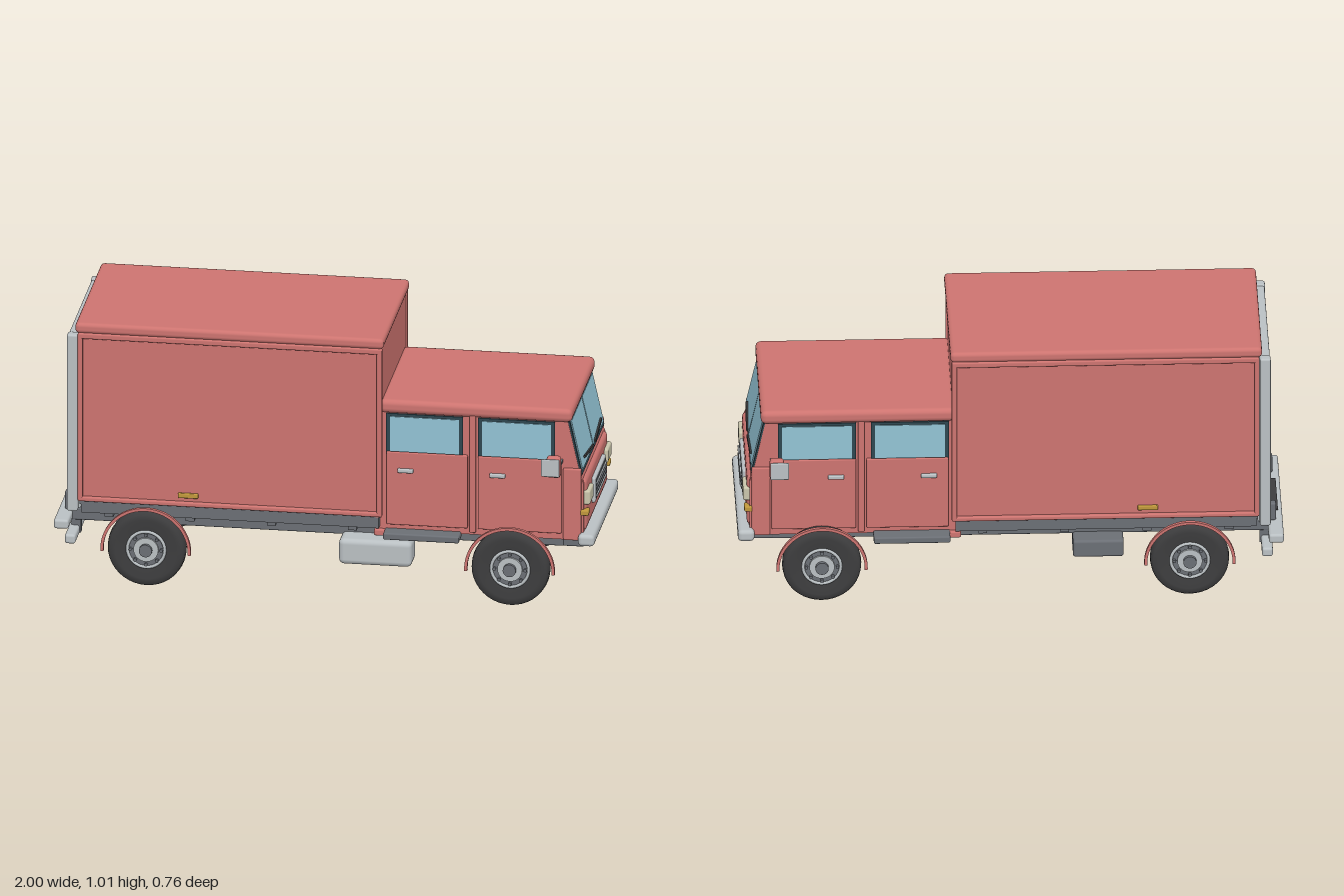
import * as THREE from 'three';
import { RoundedBoxGeometry } from 'three/addons/geometries/RoundedBoxGeometry.js';

const mat = (name, color, side = THREE.FrontSide) => {
  const m = new THREE.MeshStandardMaterial({ color, side });
  m.name = name;
  return m;
};

export function createModel() {
  const red = mat('red paint', 0xcd7470);
  const glass = mat('window glass', 0x92c3d4);
  const seal = mat('dark window seal', 0x2e464f);
  const silver = mat('silver metal', 0xbac0c3);
  const gray = mat('chassis gray', 0x6b6f75);
  const rubber = mat('tyre rubber', 0x3d3d3e);
  const cream = mat('headlight cream', 0xcac6ac);
  const amber = mat('amber lamp', 0xc0983c);
  const wood = mat('floor wood', 0xa58a68);

  const truck = new THREE.Group();
  truck.name = 'truck';

  const add = (name, geo, m, x = 0, y = 0, z = 0, parent = truck) => {
    const mesh = new THREE.Mesh(geo, m);
    mesh.name = name;
    mesh.position.set(x, y, z);
    parent.add(mesh);
    return mesh;
  };
  // Box given by its limits on each axis; r rounds the edges
  const block = (name, m, [x0, x1], [y0, y1], [z0, z1], r = 0, parent = truck) => {
    const s = [x1 - x0, y1 - y0, z1 - z0];
    const geo = r ? new RoundedBoxGeometry(...s, 2, r) : new THREE.BoxGeometry(...s);
    return add(name, geo, m, (x0 + x1) / 2, (y0 + y1) / 2, (z0 + z1) / 2, parent);
  };
  // The same block on both sides of the truck
  const pair = (name, m, x, y, [z0, z1], r = 0) => {
    block(name + 'Left', m, x, y, [z0, z1], r);
    block(name + 'Right', m, x, y, [-z1, -z0], r);
  };

  // Cargo box: open at the back
  block('cargoRoof', red, [-0.92, 0.22], [0.97, 1.01], [-0.32, 0.32], 0.015);
  block('cargoFrontWall', red, [0.185, 0.21], [0.31, 0.98], [-0.305, 0.305]);
  pair('cargoWall', red, [-0.905, 0.205], [0.32, 0.98], [0.29, 0.308]);
  pair('wallTopTrim', red, [-0.91, 0.215], [0.95, 0.972], [0.3, 0.321], 0.006);
  pair('wallBottomTrim', red, [-0.91, 0.215], [0.315, 0.333], [0.3, 0.321], 0.006);
  pair('wallFrontTrim', red, [0.195, 0.215], [0.32, 0.97], [0.3, 0.321], 0.006);
  pair('wallRearTrim', red, [-0.91, -0.892], [0.32, 0.97], [0.3, 0.321], 0.006);
  pair('sideMarker', amber, [-0.54, -0.465], [0.347, 0.366], [0.305, 0.317], 0.004);
  block('cargoFloorPlate', gray, [-0.905, 0.2], [0.298, 0.316], [-0.3, 0.3]);
  for (let i = 0; i < 6; i++) {
    const z = -0.288 + i * 0.096;
    block('floorPlank', wood, [-0.905, 0.185], [0.316, 0.326], [z + 0.003, z + 0.093]);
  }

  // Rear frame, tail lamps and step bumpers
  pair('rearPost', silver, [-0.952, -0.912], [0.27, 0.96], [0.27, 0.31], 0.008);
  block('rearTopBeam', silver, [-0.95, -0.915], [0.915, 0.955], [-0.28, 0.28], 0.008);
  block('rearSill', silver, [-0.945, -0.905], [0.27, 0.31], [-0.28, 0.28], 0.008);
  pair('tailLamp', red, [-0.94, -0.905], [0.312, 0.36], [0.225, 0.268], 0.006);
  block('rearStep', silver, [-1, -0.945], [0.2, 0.236], [-0.315, 0.315], 0.01);
  block('lowerRearBar', silver, [-0.96, -0.92], [0.142, 0.178], [-0.31, 0.31], 0.01);
  block('stepGrip', rubber, [-0.985, -0.95], [0.234, 0.24], [-0.12, 0.12]);
  pair('stepHook', gray, [-0.975, -0.945], [0.235, 0.305], [0.17, 0.2], 0.006);
  pair('rearBarHanger', gray, [-0.95, -0.915], [0.15, 0.24], [0.18, 0.205]);

  // Chassis
  pair('chassisRail', gray, [-0.95, 0.87], [0.2, 0.248], [0.17, 0.21], 0.006);
  pair('cargoSill', gray, [-0.9, 0.2], [0.264, 0.31], [0.265, 0.297]);
  for (const x of [-0.88, -0.66, -0.44, -0.22, 0, 0.22, 0.46, 0.84])
    block('crossMember', gray, [x - 0.016, x + 0.016], [0.205, 0.243], [-0.18, 0.18]);
  for (const x of [-0.8, -0.5, -0.2, 0.1])
    block('floorJoist', gray, [x - 0.016, x + 0.016], [0.245, 0.3], [-0.28, 0.28]);
  block('fuelTank', silver, [0.05, 0.32], [0.113, 0.212], [0.18, 0.295], 0.02);
  block('batteryBox', gray, [-0.415, -0.23], [0.14, 0.208], [-0.285, -0.18], 0.01);
  pair('cabStep', gray, [0.22, 0.5], [0.232, 0.258], [0.25, 0.328], 0.006);
  pair('stepValance', red, [0.18, 0.45], [0.23, 0.255], [0.22, 0.285], 0.006);

  // Cab shell from its side profile
  const profile = new THREE.Shape([
    [0.19, 0.25], [0.94, 0.25], [0.953, 0.265], [0.953, 0.47], [0.942, 0.5],
    [0.893, 0.72], [0.19, 0.72]
  ].map(p => new THREE.Vector2(...p)));
  add('cabShell', new THREE.ExtrudeGeometry(profile, { depth: 0.54, bevelEnabled: false }), red, 0, 0, -0.27);
  block('cabRoof', red, [0.2, 0.912], [0.71, 0.762], [-0.287, 0.287], 0.02);
  block('nosePanel', red, [0.9, 0.962], [0.28, 0.486], [-0.262, 0.262], 0.02);
  pair('doorRear', red, [0.225, 0.525], [0.275, 0.56], [0.26, 0.281], 0.005);
  pair('doorFront', red, [0.563, 0.872], [0.275, 0.56], [0.26, 0.281], 0.005);
  pair('doorPillar', red, [0.532, 0.556], [0.26, 0.72], [0.26, 0.283], 0.005);
  pair('frontCorner', red, [0.878, 0.945], [0.25, 0.53], [0.26, 0.279], 0.006);
  for (const x of [0.232, 0.572]) {
    pair('windowSeal', seal, [x - 0.008, x + 0.276], [0.548, 0.708], [0.268, 0.276]);
    pair('sideWindow', glass, [x + 0.006, x + 0.262], [0.563, 0.697], [0.272, 0.279]);
    pair('doorHandle', silver, [x + 0.035, x + 0.094], [0.482, 0.498], [0.278, 0.292], 0.005);
  }

  // Windscreen assembly, leaning with the cab front
  const screen = new THREE.Group();
  screen.name = 'windscreen';
  screen.position.set(0.919, 0.608, 0);
  screen.rotation.z = Math.atan2(0.049, 0.22);
  truck.add(screen);
  block('windscreenSeal', seal, [-0.004, 0.005], [-0.108, 0.108], [-0.268, 0.268], 0, screen);
  for (const s of [-1, 1]) {
    const z = [s * 0.129 - 0.125, s * 0.129 + 0.125];
    block('windscreenPane', glass, [0.002, 0.009], [-0.092, 0.1], z, 0, screen);
    const wiper = block('wiper', rubber, [0.01, 0.017], [-0.004, 0.004], [-0.09, 0.09], 0, screen);
    wiper.position.set(0.014, -0.073, s * 0.11);
    wiper.rotation.x = -s * 0.12;
  }

  // Nose: grille, lamps and bumper
  block('grilleFrame', silver, [0.955, 0.975], [0.344, 0.442], [-0.129, 0.129], 0.008);
  block('grilleInset', gray, [0.97, 0.977], [0.358, 0.43], [-0.115, 0.115]);
  for (let i = 0; i < 4; i++)
    block('grilleSlat', i % 3 ? gray : silver, [0.974, 0.982], [0.366 + i * 0.016, 0.372 + i * 0.016], [-0.112, 0.112]);
  pair('headlight', cream, [0.945, 0.976], [0.386, 0.441], [0.17, 0.262], 0.008);
  pair('indicator', amber, [0.94, 0.972], [0.348, 0.37], [0.238, 0.278], 0.006);
  block('frontBumper', silver, [0.935, 0.996], [0.236, 0.281], [-0.302, 0.302], 0.015);
  pair('bumperBracket', gray, [0.84, 0.945], [0.2, 0.25], [0.17, 0.208], 0.006);
  block('frontCrossBeam', gray, [0.86, 0.9], [0.202, 0.236], [-0.18, 0.18]);

  // Mirrors
  pair('mirrorArm', gray, [0.865, 0.877], [0.553, 0.563], [0.265, 0.345]);
  pair('mirrorShell', red, [0.83, 0.882], [0.525, 0.606], [0.338, 0.374], 0.012);
  pair('mirrorPlate', silver, [0.812, 0.88], [0.532, 0.6], [0.372, 0.381], 0.004);

  // Wheels, fender arcs and axles
  const tyreGeo = new THREE.LatheGeometry([
    [0.07, -0.028], [0.115, -0.034], [0.134, -0.031], [0.143, -0.02], [0.145, 0],
    [0.143, 0.02], [0.134, 0.031], [0.115, 0.034], [0.07, 0.028]
  ].map(p => new THREE.Vector2(...p)), 40).rotateX(Math.PI / 2);
  const disc = (r, d) => new THREE.CylinderGeometry(r, r, d, 28).rotateX(Math.PI / 2);
  const arc = new THREE.Shape();
  arc.absarc(0, 0, 0.167, -0.05, Math.PI + 0.05, false);
  arc.absarc(0, 0, 0.156, Math.PI + 0.05, -0.05, true);
  const arcGeo = new THREE.ExtrudeGeometry(arc, { depth: 0.014, bevelEnabled: false, curveSegments: 32 });

  for (const x of [-0.655, 0.69]) {
    add('axle', disc(0.041, 0.56), gray, x, 0.145, 0);
    for (const s of [1, -1]) {
      const wheel = new THREE.Group();
      wheel.name = 'wheel';
      wheel.position.set(x, 0.145, s * 0.3);
      wheel.rotation.y = s > 0 ? 0 : Math.PI;
      truck.add(wheel);
      add('tyre', tyreGeo, rubber, 0, 0, 0, wheel);
      add('rimDisc', disc(0.074, 0.056), gray, 0, 0, 0, wheel);
      add('rimRing', new THREE.TorusGeometry(0.069, 0.006, 8, 36), silver, 0, 0, 0.03, wheel);
      add('hubPlate', disc(0.046, 0.01), silver, 0, 0, 0.031, wheel);
      add('hubCap', disc(0.024, 0.024), gray, 0, 0, 0.037, wheel);
      for (let i = 0; i < 8; i++) {
        const a = i * Math.PI / 4;
        add('wheelBolt', disc(0.006, 0.012), gray, 0.057 * Math.cos(a), 0.057 * Math.sin(a), 0.033, wheel);
      }
      add('fenderArc', arcGeo, red, 0, -0.002, 0.031, wheel);
    }
  }
  return truck;
}
